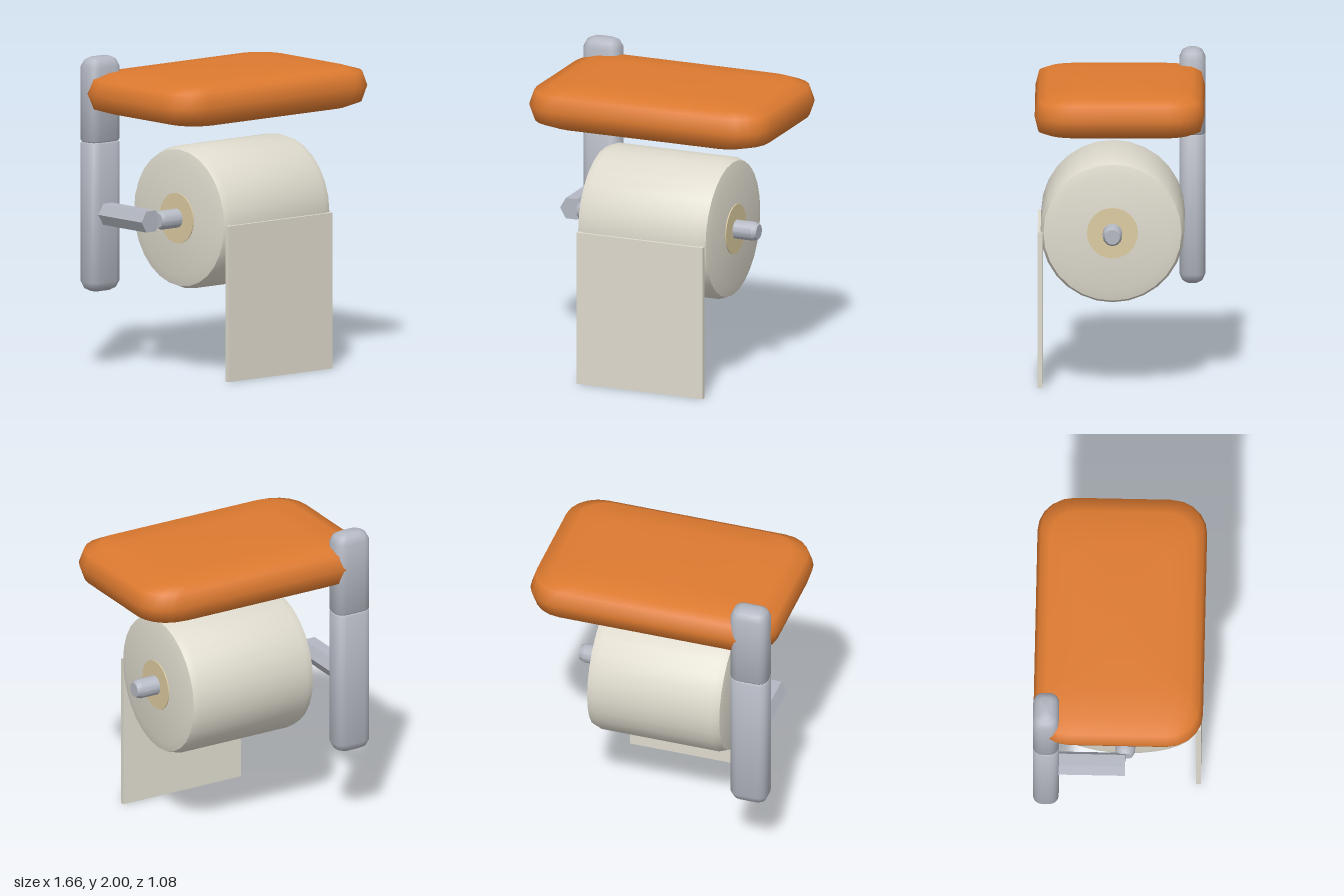
import * as THREE from 'three';
import { toCreasedNormals } from 'three/addons/utils/BufferGeometryUtils.js';

// Rounded-rectangle outline in the xz plane
function outline(hx, hz, r, steps) {
  const pts = [];
  const corners = [[1, 1], [-1, 1], [-1, -1], [1, -1]];
  corners.forEach(([sx, sz], c) => {
    for (let i = 0; i <= steps; i++) {
      const a = (c + i / steps) * Math.PI / 2;
      pts.push([sx * (hx - r) + r * Math.cos(a), sz * (hz - r) + r * Math.sin(a)]);
    }
  });
  return pts;
}

// Closed solid from stacked outlines: rings are [y, halfX, halfZ, cornerRadius], bottom to top
function loft(rings, steps, crease) {
  const pos = [], idx = [];
  const n = 4 * (steps + 1);
  rings.forEach(([y, hx, hz, r]) => outline(hx, hz, r, steps).forEach(([x, z]) => pos.push(x, y, z)));
  for (let k = 0; k < rings.length - 1; k++) {
    for (let i = 0; i < n; i++) {
      const a = k * n + i, b = k * n + (i + 1) % n;
      idx.push(a, a + n, b, b, a + n, b + n);
    }
  }
  const last = (rings.length - 1) * n, c = rings.length * n;
  pos.push(0, rings[0][0], 0, 0, rings[rings.length - 1][0], 0);
  for (let i = 0; i < n; i++) {
    const j = (i + 1) % n;
    idx.push(c, i, j, c + 1, last + j, last + i);
  }
  const g = new THREE.BufferGeometry();
  g.setAttribute('position', new THREE.Float32BufferAttribute(pos, 3));
  g.setIndex(idx);
  return toCreasedNormals(g, crease);
}

// Solid of revolution about the x axis, from [radius, x] points
function spun(points, sides) {
  const g = new THREE.LatheGeometry(points.map(([r, x]) => new THREE.Vector2(r, x)), sides);
  g.rotateZ(-Math.PI / 2);
  return toCreasedNormals(g, 0.6);
}

// Mirrors a half profile so both ends match
function bothEnds(half) {
  return [...half.map(([r, x]) => [r, -x]).reverse(), ...half].sort((a, b) => a[1] - b[1]);
}

export function createModel() {
  const model = new THREE.Group();
  const mat = (name, color) => {
    const m = new THREE.MeshStandardMaterial({ color });
    m.name = name;
    return m;
  };
  const wood = mat('orange wood', 0xdd7a30);
  const metal = mat('grey metal', 0xb4b8c2);
  const paper = mat('paper', 0xdedacd);
  const card = mat('cardboard', 0xdccba0);
  const add = (name, geometry, material, x, y, z) => {
    const m = new THREE.Mesh(geometry, material);
    m.name = name;
    m.position.set(x, y, z);
    model.add(m);
    return m;
  };
  const axisY = 1, axisZ = 0.045;

  // Pillowed shelf
  add('shelf', loft([
    [-0.145, 0.5, 0.3, 0.14],
    [-0.125, 0.7, 0.46, 0.18],
    [-0.095, 0.8, 0.515, 0.21],
    [0, 0.83, 0.538, 0.22],
    [0.095, 0.8, 0.515, 0.21],
    [0.125, 0.7, 0.46, 0.18],
    [0.14, 0.5, 0.3, 0.14],
  ], 5, 1.2), wood, 0, 1.775, 0);

  // Wall post in two pieces, meeting at a fine seam
  add('lowerPost', loft([
    [0.5, 0.07, 0.035, 0.03],
    [0.518, 0.105, 0.064, 0.05],
    [0.56, 0.124, 0.082, 0.06],
    [1.448, 0.124, 0.082, 0.06],
    [1.46, 0.116, 0.074, 0.055],
  ], 4, 1.0), metal, -0.67, 0, -0.457);
  add('upperPost', loft([
    [1.458, 0.116, 0.074, 0.055],
    [1.47, 0.124, 0.082, 0.06],
    [1.94, 0.124, 0.082, 0.06],
    [1.982, 0.105, 0.064, 0.05],
    [2.0, 0.07, 0.035, 0.03],
  ], 4, 1.0), metal, -0.67, 0, -0.457);

  // Hexagonal arm from the post to the spindle
  const arm = new THREE.CylinderGeometry(0.078, 0.078, 0.48, 6);
  arm.rotateY(Math.PI / 6);
  arm.rotateX(Math.PI / 2);
  arm.rotateZ(Math.PI / 6);
  // Put a hexagon corner on the x axis
  const p = arm.attributes.position;
  let tip = 0;
  for (let i = 0; i < p.count; i++) tip = Math.max(tip, p.getX(i));
  if (tip < 0.075) arm.rotateZ(Math.PI / 6);
  add('arm', toCreasedNormals(arm, 0.5), metal, -0.675, axisY, -0.195);

  // Spindle with bevelled ends
  add('spindle', spun(bothEnds([[0.062, 0.59], [0.048, 0.62], [0, 0.62]]), 12), metal, 0, axisY, axisZ);

  // Paper roll and its cardboard core
  add('paperRoll', spun(bothEnds([[0.456, 0.39], [0.438, 0.44], [0.37, 0.456], [0, 0.456]]), 28), paper, 0, axisY, axisZ);
  add('core', spun(bothEnds([[0.162, 0.463], [0, 0.463]]), 24), card, 0, axisY, axisZ);

  // Hanging sheet
  add('sheet', new THREE.BoxGeometry(0.87, 1, 0.032), paper, 0, 0.5, 0.504);

  return model;
}
